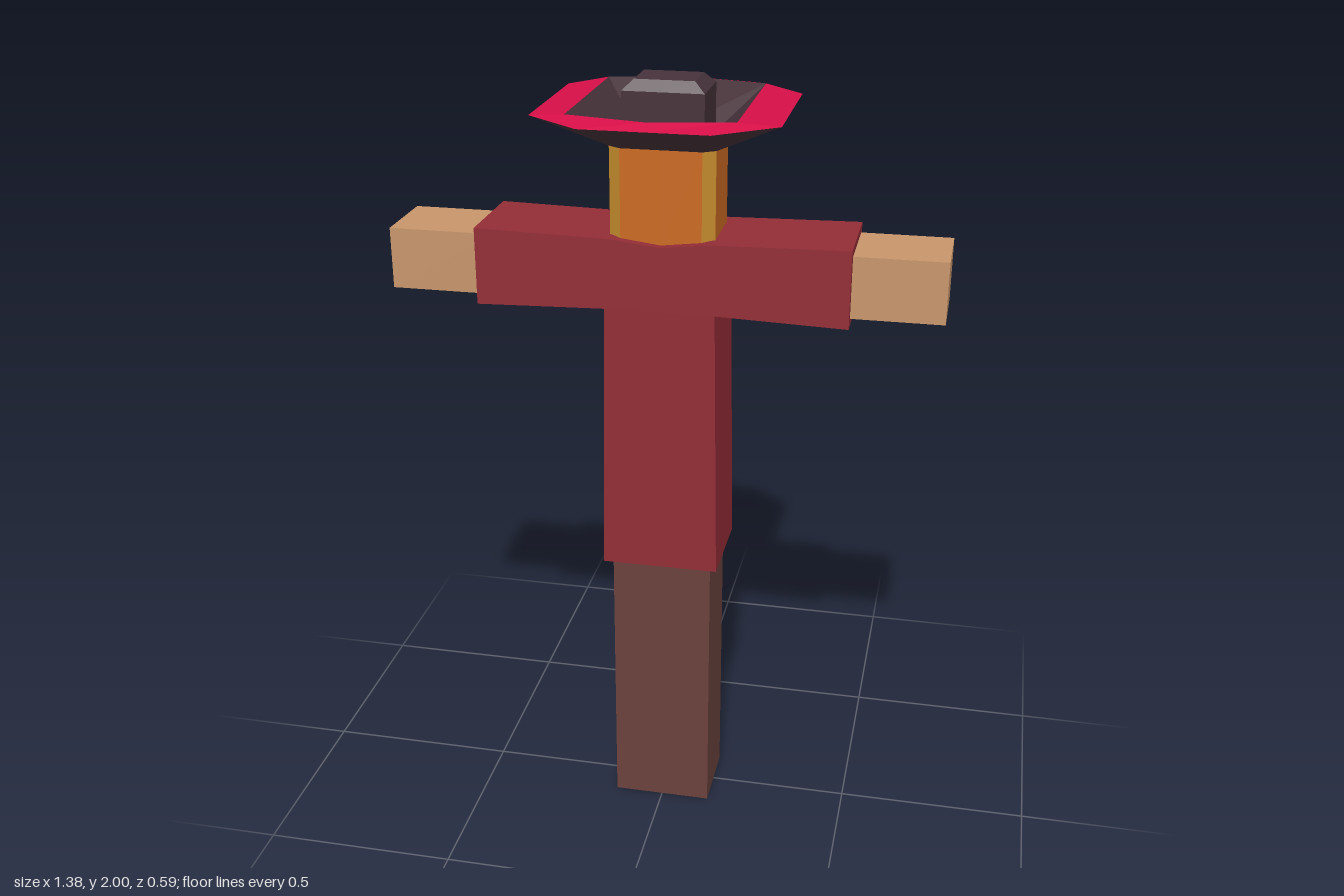
import * as THREE from 'three';

const mat = (name, color) => {
  const m = new THREE.MeshStandardMaterial({ color, flatShading: true });
  m.name = name;
  return m;
};

// Symmetric ten-point outline in plan: side corner, front corner, front centre
const outline = (y, [a, b], [c, d], e) => [
  [a, b], [a, -b], [c, -d], [0, -e], [-c, -d],
  [-a, -b], [-a, b], [-c, d], [0, e], [c, d],
].map(([x, z]) => new THREE.Vector3(x, y, z));

// Skin between successive outlines, optionally only some of the sides
function loft(rings, { sides = null, cap = false } = {}) {
  const pos = [];
  const tri = (a, b, c) => {
    if (a.equals(b) || b.equals(c) || a.equals(c)) return;
    pos.push(...a.toArray(), ...b.toArray(), ...c.toArray());
  };
  for (let r = 0; r < rings.length - 1; r++) {
    const lo = rings[r], hi = rings[r + 1];
    for (let i = 0; i < 10; i++) {
      if (sides && !sides.includes(i)) continue;
      const j = (i + 1) % 10;
      tri(lo[i], lo[j], hi[j]);
      tri(lo[i], hi[j], hi[i]);
    }
  }
  if (cap) {
    const top = rings[rings.length - 1];
    for (let i = 1; i < 9; i++) tri(top[0], top[i], top[i + 1]);
  }
  const g = new THREE.BufferGeometry();
  g.setAttribute('position', new THREE.Float32BufferAttribute(pos, 3));
  g.computeVertexNormals();
  return g;
}

const plate = (pts, depth) => new THREE.ExtrudeGeometry(
  new THREE.Shape(pts.map(([x, y]) => new THREE.Vector2(x, y))),
  { depth, bevelEnabled: false });

export function createModel() {
  const model = new THREE.Group();
  model.name = 'scarecrow';
  const robeMat = mat('robe red', 0x932d36);
  const postMat = mat('post brown', 0x6b423c);
  const woodMat = mat('arm tan', 0xc8966b);
  const headMat = mat('pumpkin orange', 0xcc6a22);
  const goldMat = mat('pumpkin gold', 0xc48c2c);
  const hatMat = mat('hat charcoal', 0x46323a);
  const trimMat = mat('hat crimson', 0xd60f47);
  const faceMat = mat('face dark green', 0x2c3c34);
  trimMat.side = hatMat.side = THREE.DoubleSide;

  const add = (name, geometry, material, parent = model) => {
    const mesh = new THREE.Mesh(geometry, material);
    mesh.name = name;
    parent.add(mesh);
    return mesh;
  };

  // Lower post
  add('post', new THREE.BoxGeometry(0.26, 0.8, 0.2), postMat).position.y = 0.4;

  // T-shaped robe with flared hem, flared cuffs and a dipped neckline
  const half = [[0.15, 0.745], [0.138, 1.45], [0.463, 1.44], [0.463, 1.635], [0.12, 1.628]];
  const robe = plate([
    ...half, [0, 1.613], ...half.map(([x, y]) => [-x, y]).reverse(),
  ], 0.246);
  robe.translate(0, 0, -0.123);
  add('robe', robe, robeMat);

  // Bare arm ends
  for (const s of [1, -1]) {
    const arm = add(s > 0 ? 'leftArm' : 'rightArm',
      new THREE.BoxGeometry(0.27, 0.155, 0.2), woodMat);
    arm.position.set(s * 0.555, 1.5375, 0);
  }

  // Head with narrow gold corner facets
  const headRing = (y) => outline(y, [0.13, 0.08], [0.1, 0.1], 0.1);
  const headRings = [headRing(1.6), headRing(1.85)];
  add('head', loft(headRings, { sides: [0, 2, 3, 5, 7, 8] }), headMat);
  add('headCorners', loft(headRings, { sides: [1, 4, 6, 9] }), goldMat);

  // Carved face on the rear side
  const face = new THREE.Group();
  face.name = 'face';
  face.rotation.y = Math.PI;
  face.position.z = -0.1;
  model.add(face);
  for (const s of [-1, 1]) {
    const eye = [[0.014, 1.755], [0.072, 1.787], [0.07, 1.757], [0.05, 1.748], [0.03, 1.74]]
      .map(([x, y]) => [s * x, y]);
    add(s < 0 ? 'leftEye' : 'rightEye', plate(eye, 0.004), faceMat, face);
  }
  const upper = [], lower = [];
  for (let i = 0; i <= 12; i++) {
    const x = -0.084 + i * 0.014;
    const curve = 1.668 + 2.2 * x * x;
    const zig = i % 2 ? 0.011 : -0.007;
    upper.push([x, curve + zig + 0.007]);
    lower.push([x, curve + zig - 0.007]);
  }
  add('mouth', plate([...lower, ...upper.reverse()], 0.004), faceMat, face);
  for (let i = 0; i < 5; i++) {
    const x = -0.062 + i * 0.031;
    const stitch = add('stitch', new THREE.BoxGeometry(0.009, 0.044, 0.004), faceMat, face);
    stitch.position.set(x, 1.671 + 2.2 * x * x, 0.002);
  }

  // Hat: flared underside, crimson rim, sunken top and bevelled crown
  const neck = outline(1.845, [0.13, 0.08], [0.1, 0.1], 0.1);
  const brim = outline(1.932, [0.296, 0.18], [0.154, 0.293], 0.293);
  const rim = outline(1.946, [0.2, 0.215], [0.2, 0.215], 0.257);
  const crown = (y, x, z) => outline(y, [x, z], [x, z], z);
  add('brimUnderside', loft([neck, brim]), hatMat);
  add('brimTrim', loft([brim, rim]), trimMat);
  add('hatTop', loft([
    rim, crown(1.855, 0.1, 0.075), crown(1.975, 0.1, 0.075), crown(2.0, 0.073, 0.055),
  ], { cap: true }), hatMat);

  return model;
}
